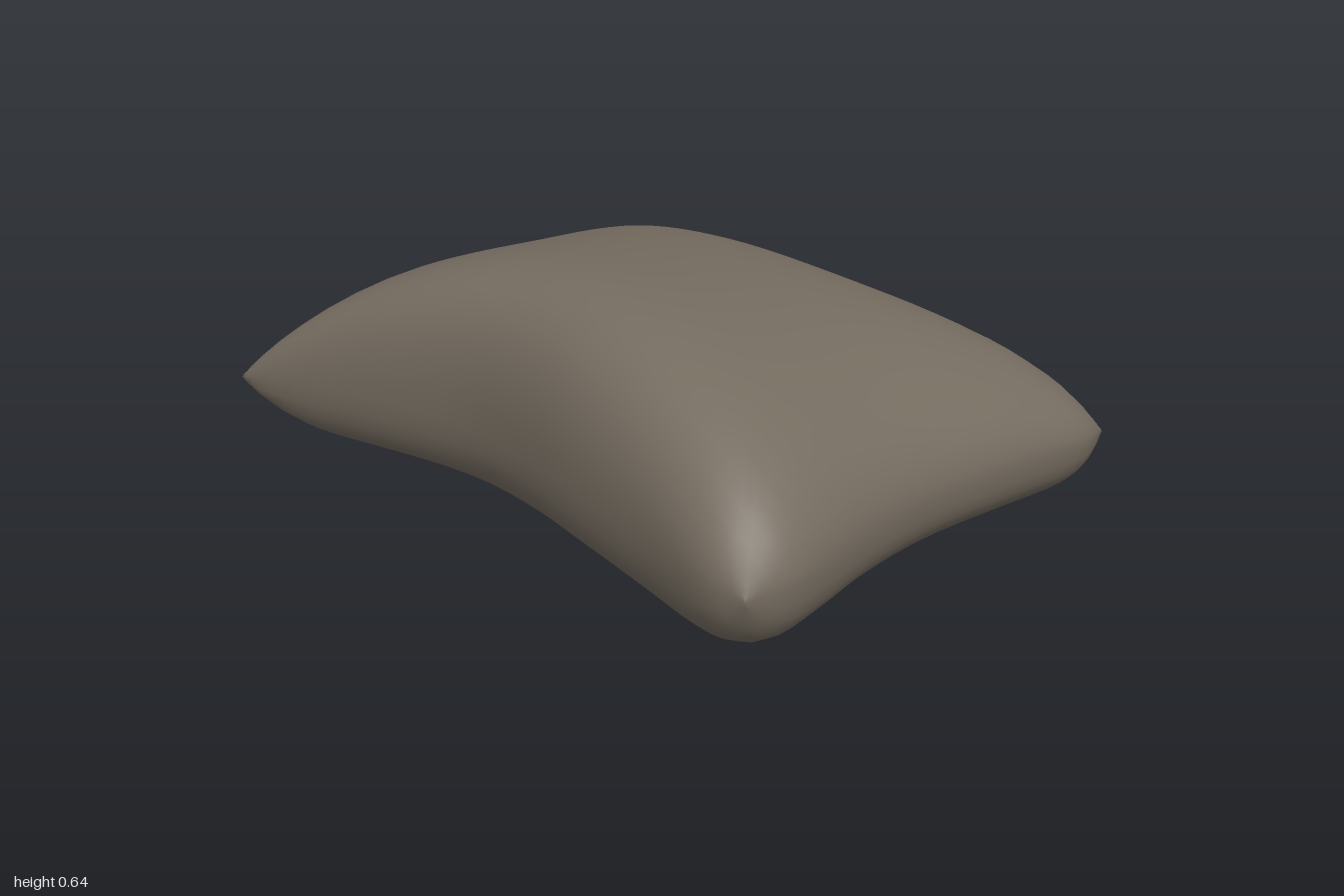
import * as THREE from 'three';
import { mergeVertices } from 'three/addons/utils/BufferGeometryUtils.js';

const COLS = 28, ROWS = 36;

// Smooth outline edge through [x, z] points
const edge = (pts) => new THREE.CatmullRomCurve3(pts.map(([x, z]) => new THREE.Vector3(x, 0, z)));

// The four seams, pinched inwards between the corners
const back = edge([[-0.74, -1], [-0.6, -0.96], [-0.35, -0.93], [0, -0.922], [0.4, -0.95], [0.6, -0.973], [0.715, -0.972]]);
const front = edge([[-0.715, 0.955], [-0.6, 0.995], [-0.45, 0.985], [-0.25, 0.955], [0, 0.94], [0.35, 0.965], [0.58, 0.985], [0.68, 0.955]]);
const right = edge([[-0.74, -1], [-0.64, -0.62], [-0.585, -0.25], [-0.6, 0], [-0.645, 0.25], [-0.695, 0.55], [-0.74, 0.85], [-0.715, 0.955]]);
const left = edge([[0.715, -0.972], [0.735, -0.8], [0.705, -0.6], [0.67, -0.38], [0.635, 0.1], [0.66, 0.4], [0.695, 0.65], [0.7, 0.82], [0.68, 0.955]]);

const lerp = THREE.MathUtils.lerp;
const bilinear = (a, b, c, d, s, t) => lerp(lerp(a, b, s), lerp(c, d, s), t);
// Rounded fall-off from the middle (1) to the seam (0)
const bulge = (w, power, round) => Math.pow(Math.max(0, 1 - Math.pow(Math.abs(w), power)), round);

// Point in the plan, blended from the four seams
function plan(s, t) {
  const c = [back.getPoint(0), back.getPoint(1), front.getPoint(0), front.getPoint(1)];
  const b = back.getPointAt(s), f = front.getPointAt(s);
  const r = right.getPointAt(t), l = left.getPointAt(t);
  const at = (k) => lerp(b[k], f[k], t) + lerp(r[k], l[k], s) - bilinear(c[0][k], c[1][k], c[2][k], c[3][k], s, t);
  return [at('x'), at('z')];
}

// Height of the upper or lower cloth; u and v run from -1 to 1
function height(u, v, upper) {
  const seam = 0.225 + 0.04 * (1 - v * v) + 0.02 * (1 - u * u);
  if (upper) {
    const top = 0.635 - 0.08 * u;
    return seam + (top - seam) * bulge(u, 4, 0.45) * bulge(v, 2, 0.5);
  }
  const corner = bilinear(0.03, -0.04, -0.01, 0.04, (u + 1) / 2, (v + 1) / 2);
  const low = lerp(0.08, corner, Math.min(1, (u * u + v * v) * 0.65));
  return seam + (low - seam) * bulge(u, 8, 0.45) * bulge(v, 9, 0.45);
}

function bagGeometry() {
  const positions = [], index = [];
  for (const upper of [true, false]) {
    const start = positions.length / 3;
    for (let j = 0; j <= ROWS; j++) {
      for (let i = 0; i <= COLS; i++) {
        // Rows crowd towards the seams, where the cloth curves most
        const u = Math.sin((i / COLS - 0.5) * Math.PI);
        const v = Math.sin((j / ROWS - 0.5) * Math.PI);
        const [x, z] = plan((u + 1) / 2, (v + 1) / 2);
        positions.push(x, height(u, v, upper), z);
      }
    }
    for (let j = 0; j < ROWS; j++) {
      for (let i = 0; i < COLS; i++) {
        const a = start + j * (COLS + 1) + i, b = a + 1, c = a + COLS + 1, d = c + 1;
        if (upper) index.push(a, c, b, b, c, d);
        else index.push(a, b, c, b, d, c);
      }
    }
  }
  let geometry = new THREE.BufferGeometry();
  geometry.setAttribute('position', new THREE.Float32BufferAttribute(positions, 3));
  geometry.setIndex(index);
  geometry = mergeVertices(geometry, 1e-4); // join both cloths along the seam
  geometry.computeBoundingBox();
  geometry.translate(0, -geometry.boundingBox.min.y, 0);
  geometry.computeVertexNormals();
  return geometry;
}

export function createModel() {
  const cloth = new THREE.MeshStandardMaterial({ color: 0x756c60 });
  cloth.name = 'brownCloth';

  const bag = new THREE.Mesh(bagGeometry(), cloth);
  bag.name = 'stuffedBag';

  const model = new THREE.Group();
  model.name = 'sandbag';
  model.add(bag);
  return model;
}
